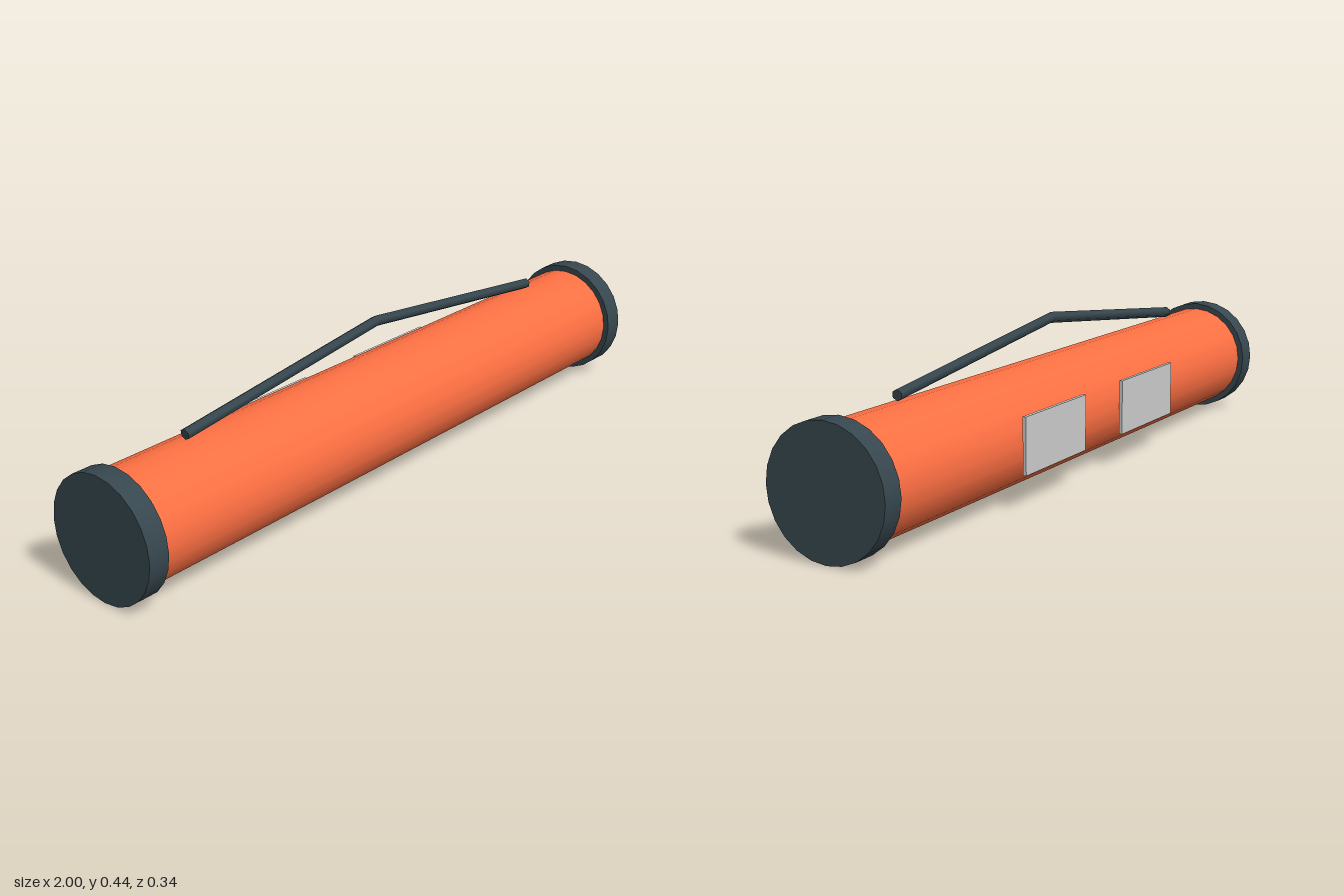
import * as THREE from 'three';

const RADIUS = 0.17;

export function createModel() {
  const group = new THREE.Group();
  const orange = new THREE.MeshStandardMaterial({ color: 0xff7043 });
  const dark = new THREE.MeshStandardMaterial({ color: 0x37474f });
  const grey = new THREE.MeshStandardMaterial({ color: 0xcccccc });

  const add = (name, geometry, material, x, y, z) => {
    const mesh = new THREE.Mesh(geometry, material);
    mesh.name = name;
    mesh.position.set(x, y, z);
    group.add(mesh);
  };
  // Cylinder lying along x
  const lying = (r, length, sides) =>
    new THREE.CylinderGeometry(r, r, length, sides, 1, false, Math.PI / 2).rotateZ(Math.PI / 2);

  // Tube body
  add('tubeBody', lying(0.153, 1.92, 24), orange, 0, RADIUS, 0);

  // Handle: two straight hexagonal rods mitred at the middle
  const end = new THREE.Vector2(0.718, 0.343);
  const peak = new THREE.Vector2(0, 0.428);
  const length = end.distanceTo(peak);
  const slope = (end.y - peak.y) / end.x;

  for (const side of [-1, 1]) {
    const name = side > 0 ? 'left' : 'right';

    // End cap
    add(name + 'EndCap', lying(RADIUS, 0.06, 24), dark, side * 0.97, RADIUS, 0);

    // Handle rod, inner end slid along its axis onto the plane x = 0
    const rod = lying(0.0153, length, 6);
    rod.rotateZ(Math.atan(slope * side));
    rod.translate(side * end.x / 2, (end.y + peak.y) / 2, 0);
    const p = rod.attributes.position;
    for (let i = 0; i < p.count; i++) {
      const x = p.getX(i);
      if (Math.abs(x) < 0.1) p.setXY(i, 0, p.getY(i) - x * slope * side);
    }
    add(name + 'HandleRod', rod, dark, 0, 0, 0);

    // Flat plate on the back
    add(name + 'BackPlate', new THREE.BoxGeometry(0.306, 0.153, 0.01), grey, side * 0.257, 0.172, -0.165);
  }
  return group;
}
